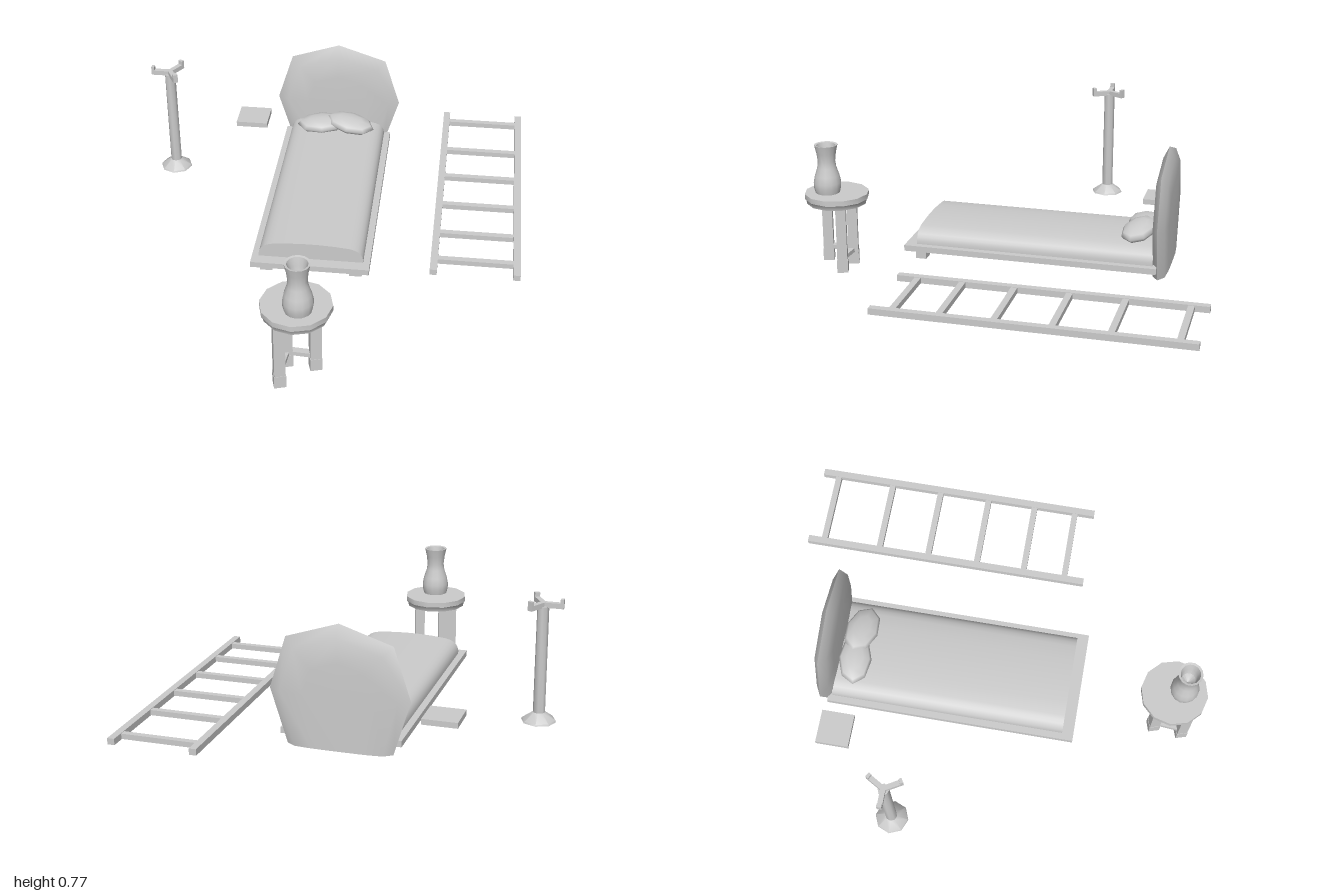
import * as THREE from 'three';
import { toCreasedNormals } from 'three/addons/utils/BufferGeometryUtils.js';

const grey = new THREE.MeshStandardMaterial({ color: 0xcccccc });
const greyOpen = new THREE.MeshStandardMaterial({ color: 0xcccccc, side: THREE.DoubleSide });

function add(parent, name, geometry, x = 0, y = 0, z = 0, material = grey) {
  const mesh = new THREE.Mesh(geometry, material);
  mesh.name = name;
  mesh.position.set(x, y, z);
  parent.add(mesh);
  return mesh;
}

// Box given by its lower and upper limits on each axis
function box(parent, name, [x0, x1], [y0, y1], [z0, z1]) {
  return add(parent, name, new THREE.BoxGeometry(x1 - x0, y1 - y0, z1 - z0),
    (x0 + x1) / 2, (y0 + y1) / 2, (z0 + z1) / 2);
}

function group(parent, name) {
  const g = new THREE.Group();
  g.name = name;
  parent.add(g);
  return g;
}

const lathe = (points, sides) => toCreasedNormals(
  new THREE.LatheGeometry(points.map(([r, y]) => new THREE.Vector2(r, y)), sides), 0.8);

// Faceted headboard: a thin edge outline swelling to a cushioned front and back
function headboardGeometry() {
  const outline = [[0.23, 0.175], [0.303, 0.415], [0.23, 0.645], [0, 0.72],
    [-0.23, 0.645], [-0.303, 0.415], [-0.23, 0.175]];
  const n = outline.length;
  const ring = (s, z) => outline.map(([x, y]) => [x * s, y < 0.2 ? y : 0.4 + (y - 0.4) * s, z]);
  const rings = [ring(0, 0.033), ring(0.5, 0.032), ring(0.83, 0.026), ring(1, 0),
    ring(0.83, -0.026), ring(0.5, -0.032), ring(0, -0.033)];
  const index = [];
  for (let r = 0; r < rings.length - 1; r++) {
    for (let i = 0; i < n; i++) {
      const a = r * n + i, b = r * n + (i + 1) % n;
      index.push(a, a + n, b, b, a + n, b + n);
    }
  }
  // Flat underside joining the lowest points of the rings
  const low = rings.flatMap((_, r) => r > 1 && r < 5 ? [r] : []);
  for (const r of low.slice(0, -1)) {
    const a = r * n, b = r * n + n - 1;
    index.push(a, b, a + n, b, b + n, a + n);
  }
  const g = new THREE.BufferGeometry();
  g.setAttribute('position', new THREE.Float32BufferAttribute(rings.flat(2), 3));
  g.setIndex(index);
  return toCreasedNormals(g, 0.9);
}

function buildBed(root) {
  const bed = group(root, 'bed');
  box(bed, 'bedFrame', [-0.306, 0.22], [0.213, 0.24], [-0.73, 0.422]);
  for (const x of [-0.243, 0.157]) {
    box(bed, 'bedFoot', [x - 0.028, x + 0.028], [0.168, 0.215], [0.33, 0.378]);
  }
  add(bed, 'headboard', headboardGeometry(), -0.043, 0, -0.733);

  // Mattress with rounded shoulders
  const s = new THREE.Shape();
  s.moveTo(-0.233, 0.238);
  s.lineTo(0.233, 0.238);
  s.lineTo(0.233, 0.255);
  s.quadraticCurveTo(0.228, 0.3, 0.17, 0.31);
  s.quadraticCurveTo(0, 0.33, -0.17, 0.31);
  s.quadraticCurveTo(-0.228, 0.3, -0.233, 0.255);
  const mattress = new THREE.ExtrudeGeometry(s, { depth: 1.08, bevelEnabled: false, curveSegments: 5 });
  add(bed, 'mattress', toCreasedNormals(mattress, 0.8), -0.043, 0, -0.71);

  // Two overlapping soft pillows
  for (const [x, y, z, turn, tilt] of [[-0.115, 0.336, -0.627, 0.1, 0.05], [0.027, 0.347, -0.622, -0.2, -0.12]]) {
    const pillow = add(bed, 'pillow', new THREE.SphereGeometry(1, 8, 6), x, y, z);
    pillow.scale.set(0.122, 0.034, 0.076);
    pillow.rotation.set(0.08, turn, tilt);
  }
}

// Three-legged table with a vase on it
function buildTable(root) {
  const table = group(root, 'sideTable');
  add(table, 'tableTop', lathe([[0, 0.326], [0.143, 0.326], [0.147, 0.345], [0.153, 0.35],
    [0.153, 0.375], [0, 0.375]], 12), -0.04, 0, 0.845);
  const corner = [-0.093, 0.793], legs = [[-0.104, 0.925], corner, [0.032, 0.801]];
  for (const [x, z] of legs) {
    const leg = add(table, 'tableLeg', new THREE.BoxGeometry(0.048, 0.33, 0.048), x, 0.165, z);
    const foot = add(table, 'tableFoot', new THREE.BoxGeometry(0.052, 0.06, 0.052), x, 0.03, z);
    leg.rotation.y = foot.rotation.y = 0.3;
  }
  for (const [x, z] of [legs[0], legs[2]]) {
    const dx = x - corner[0], dz = z - corner[1];
    const bar = add(table, 'tableStretcher', new THREE.BoxGeometry(0.03, 0.02, Math.hypot(dx, dz)),
      corner[0] + dx / 2, 0.07, corner[1] + dz / 2);
    bar.rotation.y = Math.atan2(dx, dz);
  }
  add(table, 'vase', lathe([[0, 0.375], [0.058, 0.375], [0.064, 0.4], [0.065, 0.425], [0.058, 0.46],
    [0.045, 0.5], [0.041, 0.53], [0.046, 0.57], [0.055, 0.61], [0.045, 0.608], [0.036, 0.57],
    [0.032, 0.53], [0, 0.5]], 14), -0.026, 0, 0.885, greyOpen);
}

// Tall pole with a flared base and three hooked arms
function buildStand(root) {
  const stand = group(root, 'stand');
  stand.position.set(-0.795, 0, -0.325);
  add(stand, 'standPole', lathe([[0, 0.23], [0.075, 0.23], [0.072, 0.237], [0.026, 0.27],
    [0.025, 0.74], [0, 0.74]], 8));
  for (const angle of [Math.PI, Math.PI / 3, -Math.PI / 3]) {
    const arm = group(stand, 'standArm');
    arm.rotation.y = angle;
    box(arm, 'armBar', [0, 0.086], [0.735, 0.757], [-0.011, 0.011]);
    box(arm, 'armTip', [0.072, 0.086], [0.75, 0.775], [-0.011, 0.011]);
  }
}

// Ladder lying flat
function buildLadder(root) {
  const ladder = group(root, 'ladder');
  for (const x of [0.499, 0.866]) {
    box(ladder, 'ladderRail', [x - 0.016, x + 0.016], [0.19, 0.218], [-1, 0.355]);
  }
  for (const z of [-0.923, -0.65, -0.41, -0.17, -0.06 + 0.12, 0.26]) {
    box(ladder, 'ladderRung', [0.51, 0.855], [0.192, 0.216], [z - 0.014, z + 0.014]);
  }
}

export function createModel() {
  const root = new THREE.Group();
  root.name = 'bedroomSet';
  buildBed(root);
  buildTable(root);
  buildStand(root);
  buildLadder(root);
  box(root, 'wallShelf', [-0.538, -0.385], [0.32, 0.345], [-0.722, -0.572]);
  return root;
}
